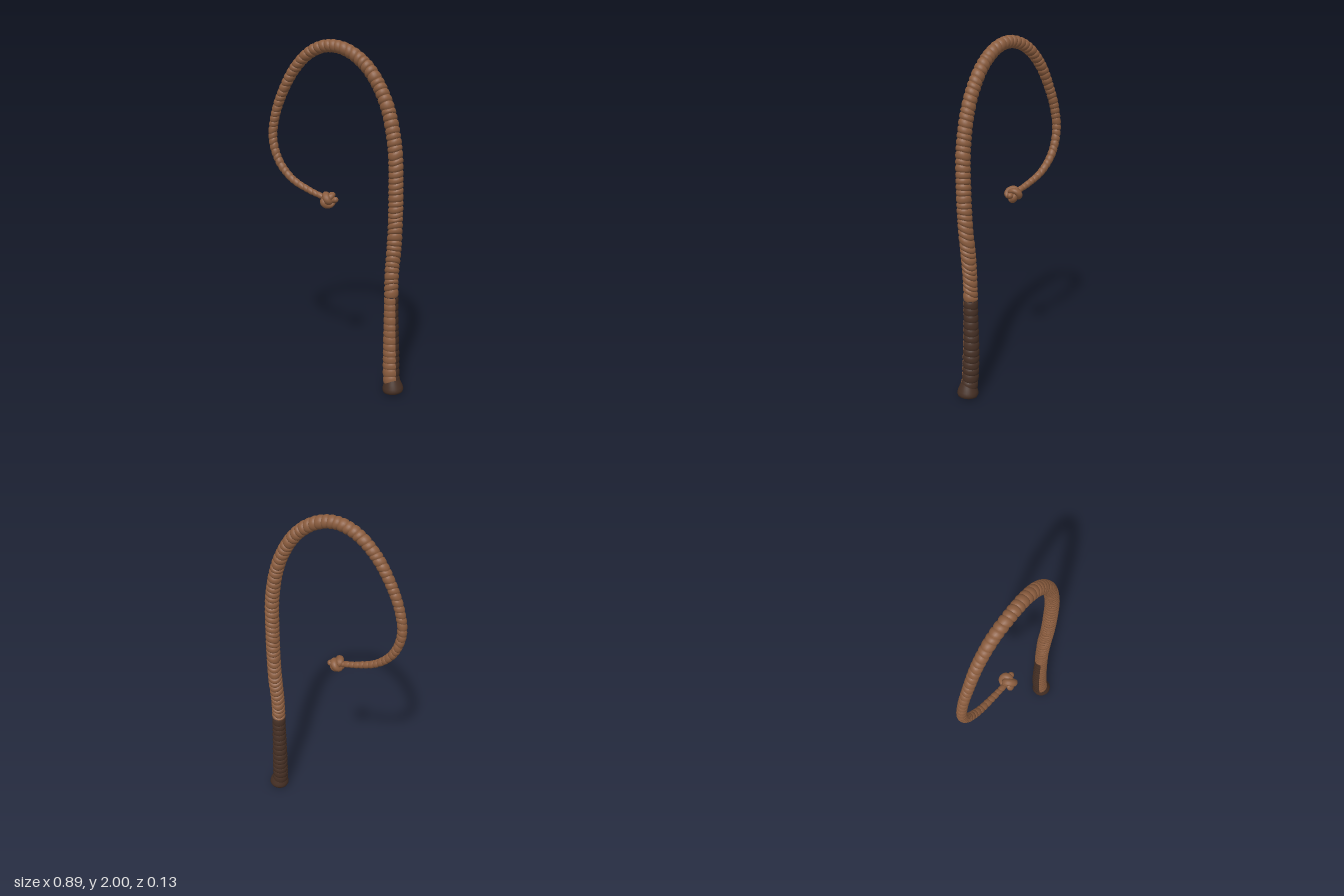
import * as THREE from 'three';

const leather = new THREE.MeshStandardMaterial({ color: 0x8a5c3e });
leather.name = 'brown leather';
const grip = new THREE.MeshStandardMaterial({ color: 0x452f24 });
grip.name = 'dark leather';

// Centre line from butt to tip: x, y, z, radius
const path = [
  [0.38, 0.03, -0.008, 0.05], [0.368, 0.09, -0.012, 0.048], [0.36, 0.25, -0.018, 0.047],
  [0.356, 0.5, -0.017, 0.041], [0.356, 0.72, -0.015, 0.04], [0.367, 0.87, -0.014, 0.042],
  [0.375, 1.0, -0.007, 0.041], [0.378, 1.2, 0.0, 0.041], [0.368, 1.45, 0.005, 0.04],
  [0.312, 1.68, 0.008, 0.038], [0.21, 1.85, 0.011, 0.037], [0.09, 1.94, 0.014, 0.036],
  [-0.03, 1.965, 0.015, 0.035], [-0.15, 1.93, 0.008, 0.034], [-0.26, 1.835, 0.002, 0.032],
  [-0.35, 1.69, 0, 0.029], [-0.402, 1.56, -0.003, 0.027], [-0.42, 1.43, -0.004, 0.026],
  [-0.38, 1.3, -0.004, 0.025], [-0.29, 1.205, 0, 0.022], [-0.17, 1.15, 0.005, 0.019],
  [-0.05, 1.115, 0.01, 0.016],
];
const curve = new THREE.CatmullRomCurve3(path.map(p => new THREE.Vector3(p[0], p[1], p[2])));
curve.arcLengthDivisions = 600;
const LENGTH = curve.getLength();

function radiusAt(u) {
  const f = curve.getUtoTmapping(u) * (path.length - 1);
  const i = Math.min(Math.floor(f), path.length - 2);
  return THREE.MathUtils.lerp(path[i][3], path[i + 1][3], f - i);
}

let seed = 11;
function random() {
  seed = (seed * 16807) % 2147483647;
  return seed / 2147483647;
}

// Rounded leather wraps between two arc lengths, with slanted creases between them.
// isDark(angle) picks the second material for a lengthwise strip.
function wraps(name, start, end, pitch, slant, depth, isDark) {
  const count = Math.round((end - start) / pitch);
  const SIDES = 24, STEPS = 6;
  const creases = [];
  for (let k = 0; k <= count; k++) {
    const edge = k === 0 || k === count;
    const s = start + (end - start) * k / count + (edge ? 0 : (random() - 0.5) * pitch * 0.25);
    creases.push({ s, amp: edge ? 0 : slant(s), phase: 0.5 + Math.sin(k * 0.23) * 0.8, wave: edge ? 0 : (random() - 0.5) * 0.006 });
  }
  const creaseAt = (c, a) => c.s + c.amp * Math.cos(a - c.phase) + c.wave * Math.cos(2 * a + c.phase);
  const positions = [], light = [], dark = [];
  const point = new THREE.Vector3(), side = new THREE.Vector3(), front = new THREE.Vector3();
  const zAxis = new THREE.Vector3(0, 0, 1);
  for (let k = 0; k < count; k++) {
    const base = positions.length / 3;
    const swell = 1 + (random() - 0.5) * 0.05;
    for (let i = 0; i <= STEPS; i++) {
      const v = i / STEPS;
      const bulge = Math.sqrt(Math.max(0, Math.sin(Math.PI * v)));
      for (let j = 0; j < SIDES; j++) {
        const a = j / SIDES * Math.PI * 2;
        const s = THREE.MathUtils.lerp(creaseAt(creases[k], a), creaseAt(creases[k + 1], a), v);
        const u = THREE.MathUtils.clamp(s / LENGTH, 0, 1);
        const tangent = curve.getTangentAt(u);
        side.crossVectors(tangent, zAxis).normalize();
        front.crossVectors(side, tangent);
        const r = radiusAt(u) * (1 - depth + (depth + 0.02) * bulge * swell);
        curve.getPointAt(u, point);
        point.addScaledVector(side, r * Math.cos(a)).addScaledVector(front, r * Math.sin(a));
        positions.push(point.x, point.y, point.z);
      }
    }
    for (let i = 0; i < STEPS; i++) {
      for (let j = 0; j < SIDES; j++) {
        const a = base + i * SIDES + j, b = base + i * SIDES + (j + 1) % SIDES;
        const list = isDark((j + 0.5) / SIDES * Math.PI * 2) ? dark : light;
        list.push(a, a + SIDES, b, b, a + SIDES, b + SIDES);
      }
    }
  }
  const geometry = new THREE.BufferGeometry();
  geometry.setAttribute('position', new THREE.Float32BufferAttribute(positions, 3));
  geometry.setIndex([...light, ...dark]);
  geometry.addGroup(0, light.length, 0);
  geometry.addGroup(light.length, dark.length, 1);
  geometry.computeVertexNormals();
  const mesh = new THREE.Mesh(geometry, [leather, grip]);
  mesh.name = name;
  return mesh;
}

function add(parent, name, geometry, material, x, y, z) {
  const mesh = new THREE.Mesh(geometry, material);
  mesh.name = name;
  mesh.position.set(x, y, z);
  parent.add(mesh);
  return mesh;
}

export function createModel() {
  const whip = new THREE.Group();
  whip.name = 'whip';

  // Handle: dark grip with a lighter strip down its front
  const gripEnd = 0.56;
  whip.add(wraps('handle', 0, gripEnd, 0.04, () => 0.004, 0.07,
    a => Math.abs(a - Math.PI / 2) > 0.95));

  // Braided thong, more slanted just above the handle
  whip.add(wraps('thong', gripEnd, LENGTH, 0.033,
    s => (s < 1.0 ? 0.018 : 0.006), 0.13, () => false));

  // Flared butt of the handle
  const profile = [[0, 0], [0.045, 0.002], [0.056, 0.008], [0.061, 0.022], [0.058, 0.038], [0.05, 0.062], [0.042, 0.085]]
    .map(p => new THREE.Vector2(p[0], p[1]));
  const butt = add(whip, 'butt', new THREE.LatheGeometry(profile, 32), grip, 0.383, 0.006, -0.008);
  butt.rotation.z = 0.1;

  // Knot at the tip, with its core and short loose end
  const knot = new THREE.Group();
  knot.name = 'tipKnot';
  knot.position.set(-0.04, 1.11, 0.01);
  const loops = add(knot, 'knotLoops', new THREE.TorusKnotGeometry(0.026, 0.018, 96, 12, 2, 3), leather, 0, 0, 0);
  loops.rotation.set(0.3, Math.PI / 2, 0);
  loops.scale.set(1, 0.9, 1.2);
  add(knot, 'knotCore', new THREE.SphereGeometry(0.03, 20, 14), leather, 0, 0, 0);
  const tail = add(knot, 'looseEnd', new THREE.CapsuleGeometry(0.017, 0.03, 6, 14), leather, 0.027, -0.002, -0.01);
  tail.rotation.z = Math.PI / 2 + 0.2;
  whip.add(knot);

  return whip;
}
